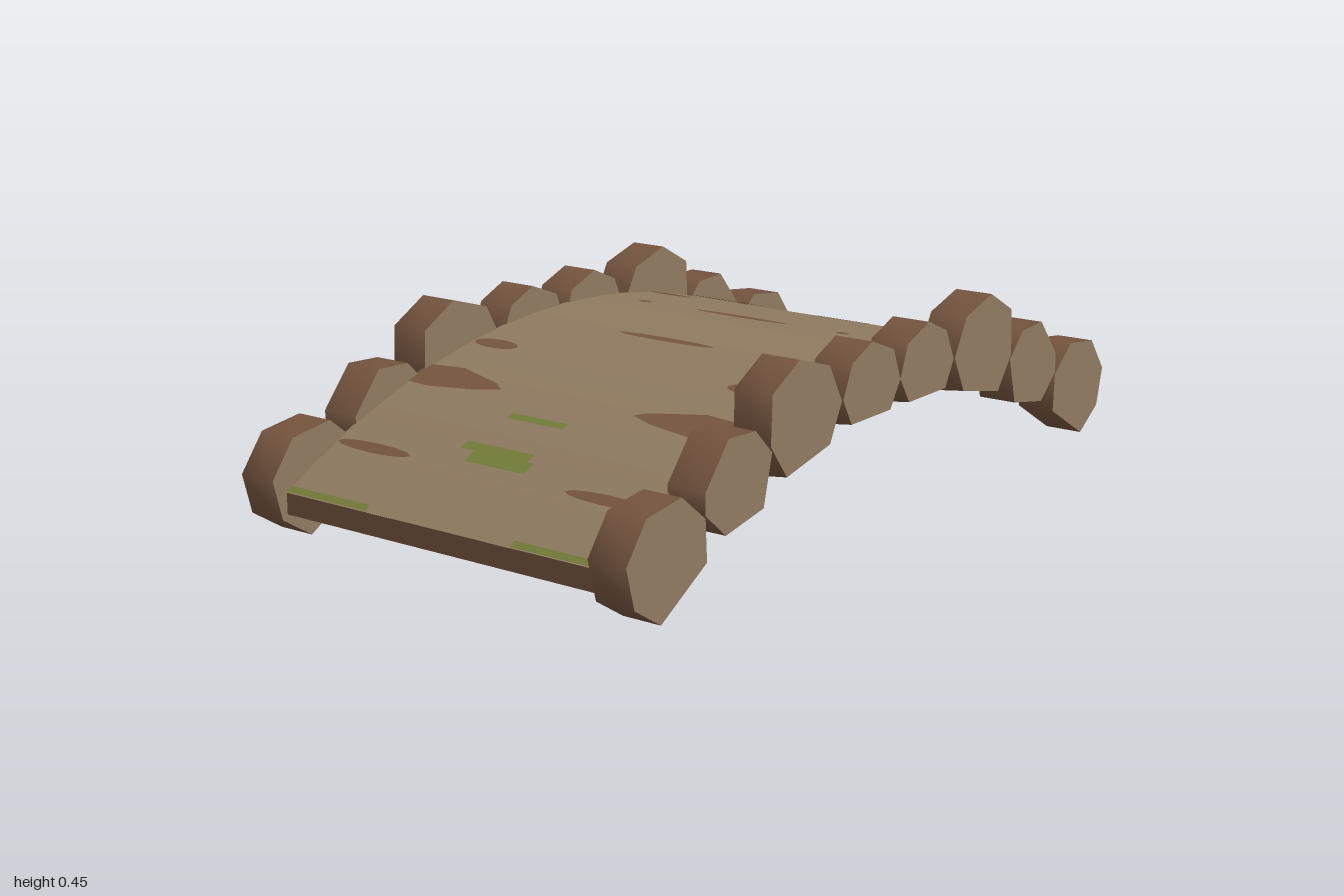
import * as THREE from 'three';

const tan = new THREE.MeshStandardMaterial({ name: 'tan wood', color: 0x8f7a60, side: THREE.DoubleSide });
const brown = new THREE.MeshStandardMaterial({ name: 'brown bark', color: 0x75553f, side: THREE.DoubleSide });
const green = new THREE.MeshStandardMaterial({ name: 'green moss', color: 0x737d38, side: THREE.DoubleSide });

const INNER = 0.443, OUTER = 0.54, END_X = 0.96;

// Height of the arched deck: a circular arc from (0, 0.37) to (0.96, 0.115)
const R = 1.935;
const deckY = (x) => 0.37 - R + Math.sqrt(R * R - x * x);

// Seven-sided log outlines on the -x half, from the foot to the crown
const logs = [
  [[-1, .15], [-.935, .235], [-.82, .25], [-.74, .185], [-.735, .09], [-.89, 0], [-.975, .055]],
  [[-.74, .24], [-.66, .335], [-.565, .33], [-.505, .27], [-.535, .155], [-.67, .13], [-.74, .19]],
  [[-.505, .395], [-.405, .45], [-.29, .415], [-.24, .325], [-.285, .225], [-.45, .19], [-.51, .27]],
  [[-.235, .325], [-.2, .4], [-.12, .435], [-.03, .4], [0, .325], [-.04, .25], [-.2, .25]],
];

// Short log lying along z: smooth bark sides, flat cut ends, pale underside
function logGeometry(outline, sx, sz, lift) {
  const pts = outline.map(([x, y]) => new THREE.Vector2(x * sx, y));
  if (THREE.ShapeUtils.isClockWise(pts)) pts.reverse();
  const n = pts.length;
  const midY = pts.reduce((s, p) => s + p.y, 0) / n;
  const midX = pts.reduce((s, p) => s + p.x, 0) / n;
  const zs = sz > 0 ? [INNER, OUTER] : [-OUTER, -INNER];
  const position = [], bark = [], cut = [];
  // the outer end of the crown logs is cut back slightly at the bottom
  const ring = (z) => pts.forEach((p) => {
    const raised = Math.abs(z) === OUTER && p.y < midY - 0.03 ? lift : 0;
    position.push(p.x, p.y + raised, z);
  });
  ring(zs[0]); ring(zs[1]);
  ring(zs[0]); ring(zs[1]);
  position.push(midX, midY, zs[0], midX, midY, zs[1]);
  for (let i = 0; i < n; i++) {
    const j = (i + 1) % n;
    const edge = pts[j].clone().sub(pts[i]).normalize();
    (-edge.x < -0.865 ? cut : bark).push(i, j, n + j, i, n + j, n + i);
    cut.push(4 * n, 2 * n + j, 2 * n + i, 4 * n + 1, 3 * n + i, 3 * n + j);
  }
  const g = new THREE.BufferGeometry();
  g.setAttribute('position', new THREE.Float32BufferAttribute(position, 3));
  g.setIndex([...bark, ...cut]);
  g.addGroup(0, bark.length, 0);
  g.addGroup(bark.length, cut.length, 1);
  g.computeVertexNormals();
  return g;
}

// Deck sheet bent over the arch
function deckGeometry() {
  const g = new THREE.PlaneGeometry(2 * END_X, 2 * INNER + 0.01, 24, 1).rotateX(-Math.PI / 2);
  const p = g.attributes.position;
  for (let i = 0; i < p.count; i++) p.setY(i, deckY(p.getX(i)));
  g.computeVertexNormals();
  return g;
}

// Flat outline in x and z laid onto the arch
function patchGeometry(points, offset) {
  const shape = new THREE.Shape(points.map(([x, z]) => new THREE.Vector2(x, -z)));
  const g = new THREE.ShapeGeometry(shape).rotateX(-Math.PI / 2);
  const p = g.attributes.position;
  for (let i = 0; i < p.count; i++) p.setY(i, deckY(p.getX(i)) + offset);
  g.computeVertexNormals();
  return g;
}

const oval = (x, z, rx, rz) => Array.from({ length: 12 }, (_, i) => {
  const a = -i * Math.PI / 6;
  return [x + rx * Math.cos(a), z + rz * Math.sin(a)];
});
const rect = (x0, x1, z0, z1) => [[x0, z0], [x0, z1], [x1, z1], [x1, z0]];

export function createModel() {
  const model = new THREE.Group();
  model.name = 'archedBridge';
  const add = (parent, name, geometry, material) => {
    const mesh = new THREE.Mesh(geometry, material);
    mesh.name = name;
    parent.add(mesh);
    return mesh;
  };

  add(model, 'deck', deckGeometry(), tan);

  // Log curbs along both edges
  const curbs = new THREE.Group();
  curbs.name = 'logCurbs';
  model.add(curbs);
  for (const sx of [-1, 1]) {
    for (const sz of [-1, 1]) {
      logs.forEach((outline, i) =>
        add(curbs, 'curbLog', logGeometry(outline, -sx, sz, i > 1 ? 0.012 : 0), [brown, tan]));
    }
    // Lip hanging from each end of the deck
    const lip = add(model, 'endLip', new THREE.PlaneGeometry(2 * INNER + 0.01, 0.05), brown);
    lip.position.set(sx * END_X, 0.09, 0);
    lip.rotation.y = sx * Math.PI / 2;
  }

  // Wood stains and moss, shown on both faces of the deck
  const marks = new THREE.Group();
  marks.name = 'deckMarks';
  model.add(marks);
  const mark = (name, points, material) => {
    for (const offset of [0.003, -0.003]) add(marks, name, patchGeometry(points, offset), material);
  };
  for (const sx of [-1, 1]) {
    mark('stain', oval(sx * 0.15, -0.01, 0.013, 0.14), brown);
    mark('moss', rect(sx * 0.75 - 0.03, sx * 0.75 + 0.005, -0.08, 0.09), green);
    mark('moss', rect(sx * 0.75 + 0.005, sx * 0.75 + 0.03, -0.12, 0.07), green);
    mark('moss', rect(sx * 0.615 - 0.01, sx * 0.615 + 0.01, -0.09, 0.07), green);
    for (const sz of [-1, 1]) {
      const wedge = [[.565, .45], [.57, .38], [.55, .25], [.53, .19], [.51, .22], [.475, .35], [.485, .45]];
      mark('stain', wedge.map(([x, z]) => [x * sx, z * sz]), brown);
      mark('stain', oval(sx * 0.34, sz * 0.37, 0.024, 0.065), brown);
      mark('stain', oval(sx * 0.8, sz * 0.33, 0.015, 0.11), brown);
      mark('moss', rect(sx * 0.952 - 0.008, sx * 0.952 + 0.008, sz * 0.325 - 0.12, sz * 0.325 + 0.12), green);
    }
  }
  for (const z of [-0.305, 0.285]) mark('knot', oval(0.15, z, 0.013, 0.018), brown);

  return model;
}
